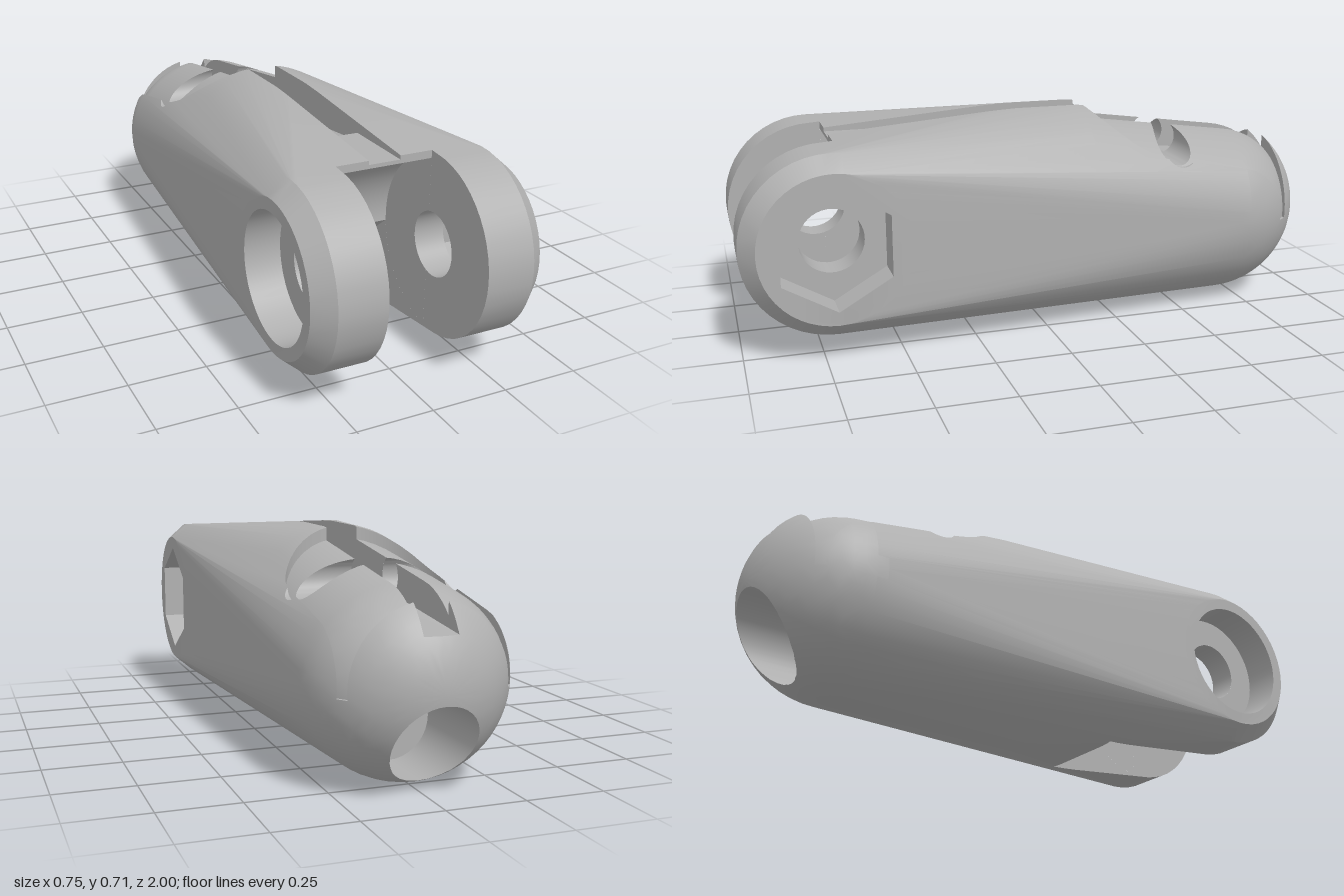
import * as THREE from 'three';
import { toCreasedNormals } from 'three/addons/utils/BufferGeometryUtils.js';
import { ConvexGeometry } from 'three/addons/geometries/ConvexGeometry.js';

const V = (x, y, z) => new THREE.Vector3(x, y, z);

// Convex solid: polygons of [position, normal] corners plus its bounding planes
function solid(geometry, crease = 0.6) {
  const g = toCreasedNormals(geometry.index ? geometry.toNonIndexed() : geometry, crease);
  const { position, normal } = g.attributes;
  const polys = [], planes = new Map();
  for (let i = 0; i < position.count; i += 3) {
    const poly = [0, 1, 2].map(k => [
      V().fromBufferAttribute(position, i + k), V().fromBufferAttribute(normal, i + k)]);
    const [a, b, c] = poly.map(v => v[0]);
    if (new THREE.Triangle(a, b, c).getArea() < 1e-7) continue;
    const plane = new THREE.Plane().setFromCoplanarPoints(a, b, c);
    planes.set([...plane.normal.toArray(), plane.constant].map(n => n.toFixed(4)).join(), plane);
    polys.push(poly);
  }
  return { polys, planes: [...planes.values()] };
}

// Cut a polygon by a plane into its front and back pieces
function split(poly, plane, offset = 0) {
  const front = [], back = [];
  const dist = poly.map(v => plane.distanceToPoint(v[0]) - offset);
  poly.forEach((v, i) => {
    const j = (i + 1) % poly.length;
    (dist[i] > 0 ? front : back).push(v);
    if ((dist[i] > 0) !== (dist[j] > 0)) {
      const t = dist[i] / (dist[i] - dist[j]);
      const m = [v[0].clone().lerp(poly[j][0], t), v[1].clone().lerp(poly[j][1], t).normalize()];
      front.push(m);
      back.push(m);
    }
  });
  return [front, back];
}

// Pieces of a polygon outside a convex solid
function outside(poly, body, offset = 0) {
  const pieces = [];
  let rest = poly;
  for (const plane of body.planes) {
    const [front, back] = split(rest, plane, offset);
    if (back.length < 3) return [poly];
    if (front.length > 2) pieces.push(front);
    rest = back;
  }
  return pieces;
}

// Piece of a polygon inside a convex solid, as a list of none or one
function inside(poly, body) {
  let rest = poly;
  for (const plane of body.planes) {
    rest = split(rest, plane)[1];
    if (rest.length < 3) return [];
  }
  return [rest];
}

const flip = poly => poly.map(([p, n]) => [p, n.clone().negate()]).reverse();

function toGeometry(polys) {
  const positions = [], normals = [];
  for (const poly of polys) {
    for (let i = 1; i < poly.length - 1; i++) {
      for (const [p, n] of [poly[0], poly[i], poly[i + 1]]) {
        positions.push(p.x, p.y, p.z);
        normals.push(n.x, n.y, n.z);
      }
    }
  }
  const g = new THREE.BufferGeometry();
  g.setAttribute('position', new THREE.Float32BufferAttribute(positions, 3));
  g.setAttribute('normal', new THREE.Float32BufferAttribute(normals, 3));
  return g;
}

// Points on an ellipse standing across z, a circle around x, and an ellipsoid
const around = (n, f) => Array.from({ length: n }, (_, i) => f(Math.cos(i / n * 2 * Math.PI), Math.sin(i / n * 2 * Math.PI)));
const ringZ = (rx, ry, y, z) => around(56, (c, s) => V(rx * c, y + ry * s, z));
const ringX = (r, x, y, z) => around(48, (c, s) => V(x, y + r * s, z + r * c));
function ellipsoid(rx, ry, rz, y, z) {
  const points = [V(0, y, z - rz)];
  for (let i = 1; i <= 14; i++) {
    const a = i / 14 * Math.PI / 2;
    points.push(...ringZ(rx * Math.sin(a), ry * Math.sin(a), y, z - rz * Math.cos(a)));
  }
  return points;
}

// Cutters: bars along x or z, and side profiles of [z, y] corners extruded across x
function barX(r, x0, x1, y, z, sides = 40) {
  return new THREE.CylinderGeometry(r, r, x1 - x0, sides)
    .rotateY(Math.PI / 6).rotateZ(Math.PI / 2).translate((x0 + x1) / 2, y, z);
}
function barZ(r, z0, z1, y) {
  return new THREE.CylinderGeometry(r, r, z1 - z0, 36).rotateX(Math.PI / 2).translate(0, y, (z0 + z1) / 2);
}
function profile(halfWidth, corners) {
  const shape = new THREE.Shape(corners.map(([z, y]) => new THREE.Vector2(-z, y)));
  return new THREE.ExtrudeGeometry(shape, { depth: 2 * halfWidth, bevelEnabled: false })
    .rotateY(Math.PI / 2).translate(-halfWidth, 0, 0);
}

export function createModel() {
  const grey = new THREE.MeshStandardMaterial({ color: 0xb0b0b0 });
  grey.name = 'grey plastic';
  const model = new THREE.Group();
  model.name = 'hingedLink';
  const hingeY = 0.37, hingeZ = 0.71;

  // Outer body: chamfered hinge barrel blended into a round middle and a domed end
  const hull = solid(new ConvexGeometry([
    ...[-1, 1].flatMap(s => [...ringX(0.29, s * 0.315, hingeY, hingeZ), ...ringX(0.24, s * 0.373, hingeY, hingeZ)]),
    ...ringZ(0.345, 0.358, 0.358, 0.02),
    ...ringZ(0.338, 0.358, 0.358, -0.17),
    ...ellipsoid(0.32, 0.32, 0.32, 0.32, -0.68),
  ]), 0.45);

  // Lowered rounded deck behind the hump, and the recess that exposes it
  const deck = solid(new ConvexGeometry([
    ...ringZ(0.33, 0.326, 0.358, -0.1),
    ...ellipsoid(0.312, 0.29, 0.29, 0.31, -0.69),
  ]), 0.45);
  const plan = new THREE.Shape();
  plan.absarc(0, 0.45, 0.265, Math.PI, 2 * Math.PI, false);
  plan.lineTo(0.265, 0.885);
  plan.lineTo(-0.265, 0.885);
  const recess = solid(new THREE.ExtrudeGeometry(plan, { depth: 0.6, bevelEnabled: false, curveSegments: 32 })
    .rotateX(-Math.PI / 2).translate(0, 0.3, 0));

  const cutters = Object.entries({
    // fork gap, with a round relief and a deeper pocket below
    forkGap: profile(0.16, [[1.2, -0.2], [1.2, 1], [0.68, 1], [0.68, -0.2]]),
    forkRelief: barX(0.28, -0.16, 0.16, 0.36, hingeZ, 64),
    forkPocket: profile(0.16, [[1.2, -0.2], [1.2, 0.34], [0.432, 0.34], [0.29, 0.228], [0.29, -0.2]]),
    // hinge pin with a hexagonal socket on one side and a round one on the other
    pinHole: barX(0.103, -0.6, 0.6, hingeY, hingeZ),
    hexSocket: barX(0.197, 0.263, 0.6, hingeY, hingeZ, 6),
    roundSocket: barX(0.2, -0.6, -0.255, hingeY, hingeZ, 48),
    // cord groove along the top and the tunnel across it
    frontGroove: profile(0.053, [[0.8, 0.65], [0.8, 1], [0.41, 1], [0.41, 0.65]]),
    cordGroove: profile(0.053, [[0.42, 0.65], [0.42, 1], [-1.1, 1], [-1.1, 0.46], [0.34, 0.615]]),
    crossTunnel: barX(0.06, -0.5, 0.5, 0.58, -0.475),
    // lengthwise cord hole and its wide mouth at the domed end
    cordHole: barZ(0.065, -0.7, 0.5, 0.16),
    cordMouth: barZ(0.13, -1.2, -0.6, 0.16),
  }).map(([name, geometry]) => ({ name, ...solid(geometry) }));

  // Remove every cutter except the one at index own; earlier cutters win shared faces
  const carve = (polys, own = -1) => cutters.reduce((list, cutter, j) =>
    j === own ? list : list.flatMap(p => outside(p, cutter, j < own ? 1e-4 : -1e-4)), polys);
  const add = (name, polys) => {
    const mesh = new THREE.Mesh(toGeometry(polys), grey);
    mesh.name = name;
    model.add(mesh);
  };

  add('outerBody', carve(hull.polys.flatMap(p => outside(p, recess))));
  add('deck', carve(deck.polys.flatMap(p => inside(p, recess)).flatMap(p => inside(p, hull))));
  add('recessWall', carve(recess.polys.map(flip).flatMap(p => inside(p, hull)).flatMap(p => outside(p, deck))));
  cutters.forEach((cutter, i) => {
    const walls = cutter.polys.map(flip).flatMap(p => inside(p, hull)).flatMap(p => [
      ...outside(p, recess),
      ...inside(p, recess).flatMap(q => inside(q, deck)),
    ]);
    add(cutter.name, carve(walls, i));
  });
  return model;
}
